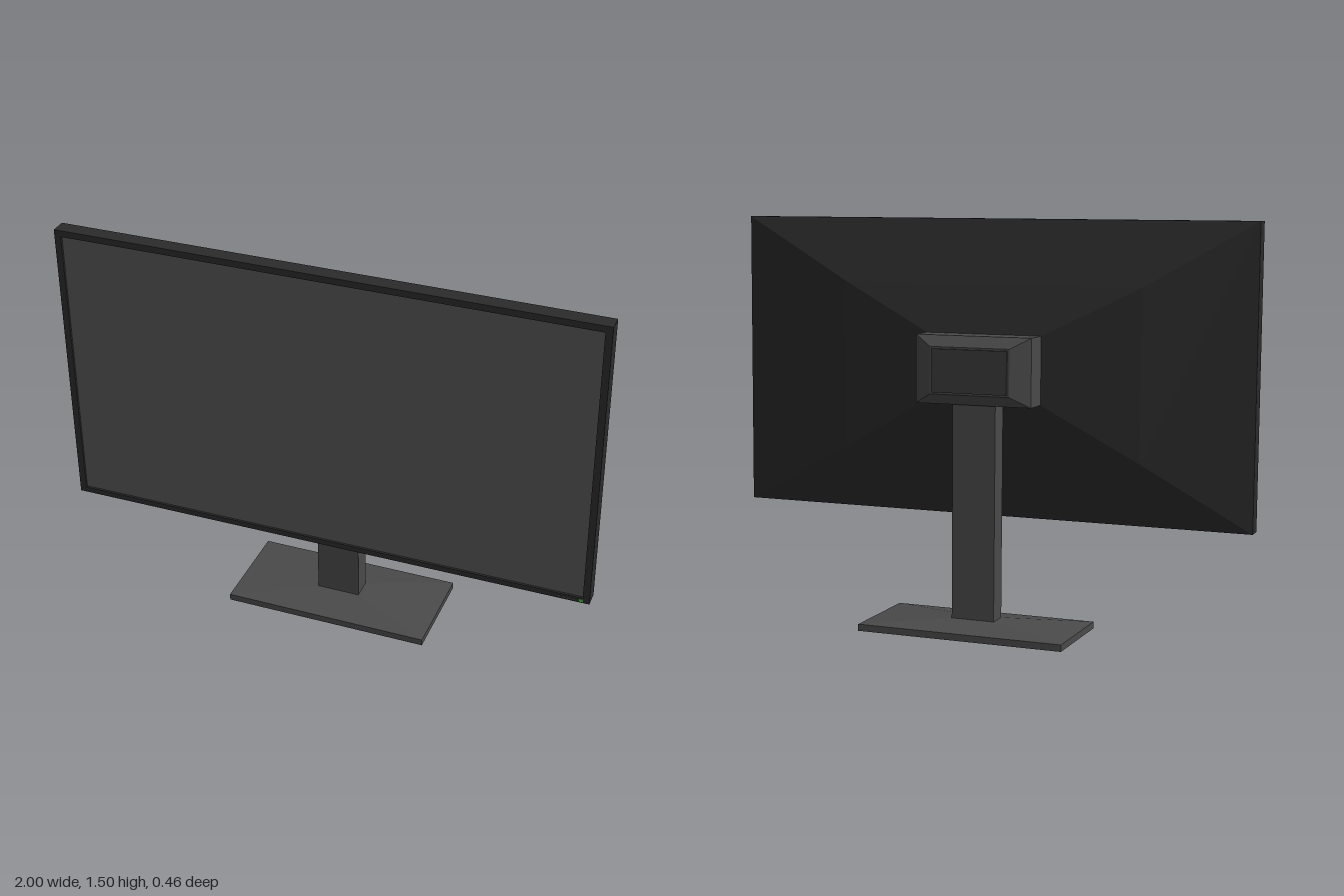
import * as THREE from 'three';

const mat = (color) => new THREE.MeshStandardMaterial({ color, flatShading: true });
const dark = mat(0x2b2b2b), grey = mat(0x4a4a4a), glass = mat(0x555555);
const panelGrey = mat(0x3c3c3c), green = mat(0x33cc33);

// Lofts rectangular rings [x0, x1, y0, y1, z], listed from front to back, with optional end caps
function loft(rings, capFront = true, capBack = true) {
  const pos = [];
  const corners = rings.map(([x0, x1, y0, y1, z]) =>
    [[x0, y0, z], [x1, y0, z], [x1, y1, z], [x0, y1, z]]);
  const quad = (a, b, c, d) => pos.push(...a, ...b, ...c, ...a, ...c, ...d);
  for (let r = 0; r < corners.length - 1; r++) {
    const a = corners[r], b = corners[r + 1];
    for (let i = 0; i < 4; i++) {
      const j = (i + 1) % 4;
      quad(a[i], b[i], b[j], a[j]);
    }
  }
  if (capFront) quad(...corners[0]);
  if (capBack) quad(...corners[corners.length - 1].slice().reverse());
  const geo = new THREE.BufferGeometry();
  geo.setAttribute('position', new THREE.Float32BufferAttribute(pos, 3));
  geo.computeVertexNormals();
  return geo;
}

export function createModel() {
  const model = new THREE.Group();
  model.name = 'monitor';
  const add = (name, geo, material, x = 0, y = 0, z = 0) => {
    const mesh = new THREE.Mesh(geo, material);
    mesh.name = name;
    mesh.position.set(x, y, z);
    model.add(mesh);
    return mesh;
  };

  // Display: bezel with a slightly recessed screen
  const screen = [-0.975, 0.975, 0.423, 1.483];
  const outer = [-1, 1, 0.402, 1.507];
  add('bezel', loft([
    [...screen, 0.184], [...screen, 0.192], [...outer, 0.192], [...outer, 0.133],
  ], false, false), dark);
  add('screen', new THREE.PlaneGeometry(1.95, 1.06), glass, 0, 0.953, 0.184);

  // Back shell tapering in two steps towards the mount
  const mount = [-0.24, 0.205, 0.84, 1.09];
  add('backShell', loft([
    [...outer, 0.133], [-0.6, 0.56, 0.64, 1.27, 0.06], [...mount, 0.012],
  ], false, false), dark);

  // Mount block with a chamfered back and a raised panel
  const inner = [-0.168, 0.138, 0.878, 1.05];
  add('mountBlock', loft([
    [...mount, 0.02], [...mount, -0.09], [...inner, -0.12],
  ]), grey);
  add('mountPanel', loft([
    [-0.16, 0.13, 0.885, 1.043, -0.115], [-0.16, 0.13, 0.885, 1.043, -0.129],
  ]), panelGrey);

  // Stand column
  add('column', new THREE.BoxGeometry(0.165, 0.82, 0.078), grey, -0.0175, 0.445, -0.039);

  // Foot: thin slab rising gently to the column (lofted along y)
  const foot = [-0.41, 0.375, -0.148, 0.226];
  add('foot', loft([
    [-0.1, 0.065, 0, 0.078, 0.048], [...foot, 0.028], [...foot, 0.003],
  ]), grey).rotation.x = -Math.PI / 2;

  // Row of buttons and the power light on the lower bezel
  for (let i = 0; i < 5; i++) {
    add('button', new THREE.BoxGeometry(0.01, 0.005, 0.003), grey, 0.89 + i * 0.018, 0.412, 0.192);
  }
  add('powerLight', new THREE.BoxGeometry(0.014, 0.01, 0.004), green, 0.97, 0.412, 0.192);

  // Slight lean and turn of the whole monitor
  model.rotation.set(0.018, -0.011, 0);
  return model;
}
